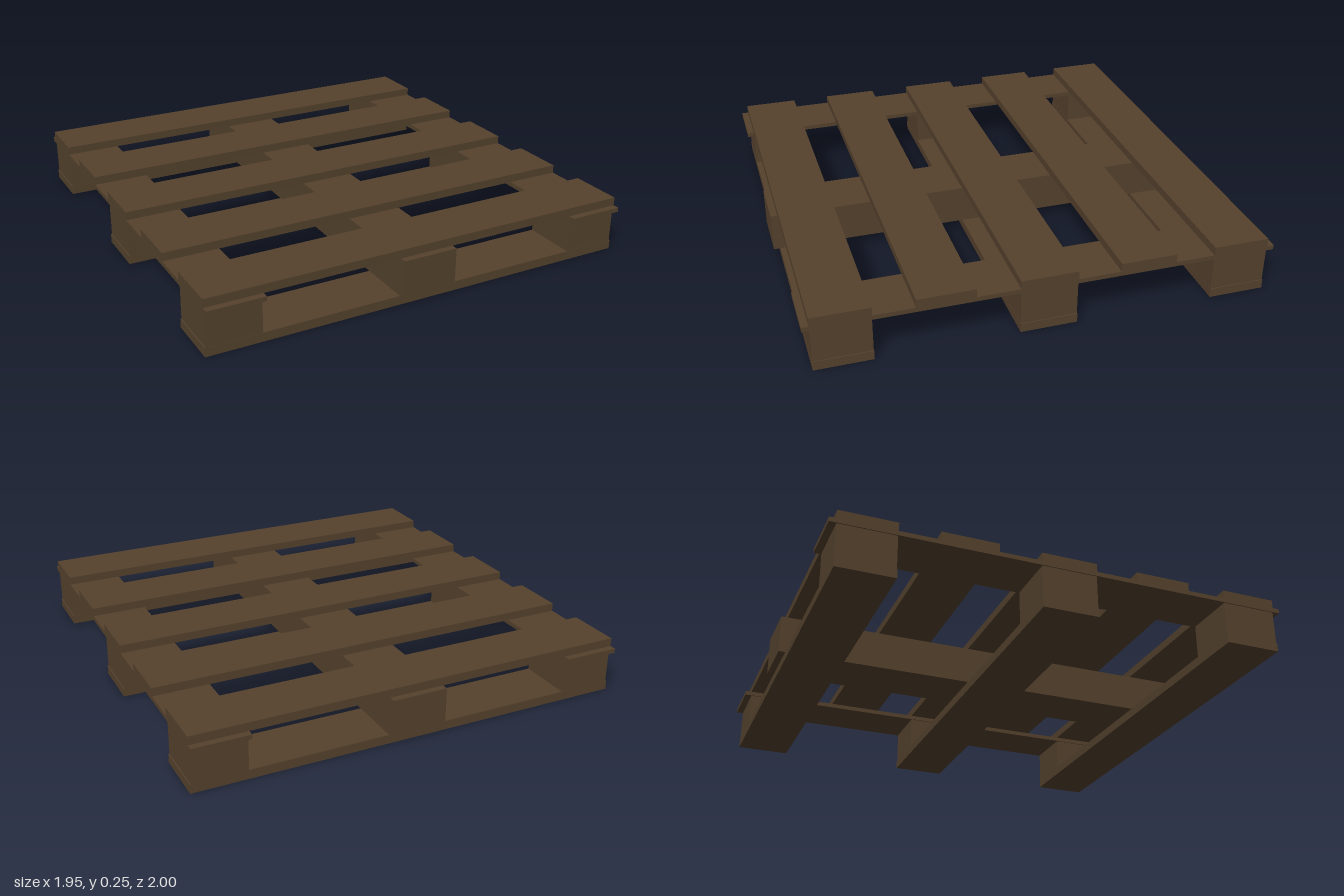
import * as THREE from 'three';

export function createModel() {
  const pallet = new THREE.Group();
  pallet.name = 'pallet';
  const wood = new THREE.MeshStandardMaterial({ color: 0x55422d });
  wood.name = 'brownWood';

  // Box given by its width, depth, bottom and top heights, and centre
  function plank(name, width, depth, bottom, top, x, z) {
    const mesh = new THREE.Mesh(new THREE.BoxGeometry(width, top - bottom, depth), wood);
    mesh.name = name;
    mesh.position.set(x, (bottom + top) / 2, z);
    pallet.add(mesh);
  }

  const boardWidth = 0.245;
  const rows = [-0.848, 0, 0.848];

  // Five deck boards across the top
  for (const z of [-0.848, -0.43, 0, 0.43, 0.848]) {
    plank('deckBoard', 1.945, boardWidth, 0.21, 0.247, 0, z);
  }

  // Three ground boards across the bottom
  for (const z of rows) {
    plank('groundBoard', 1.945, boardWidth, 0, 0.04, 0, z);
  }

  // Thin side stringers on separate blocks
  for (const x of [-0.85, 0.85]) {
    plank('sideStringer', boardWidth, 2, 0.19, 0.21, x, 0);
    for (const z of rows) {
      plank('spacerBlock', 0.236, 0.243, 0.04, 0.19, x, z);
    }
  }

  // Deep middle beam
  plank('centreBeam', boardWidth, 2, 0.04, 0.21, 0, 0);

  return pallet;
}
